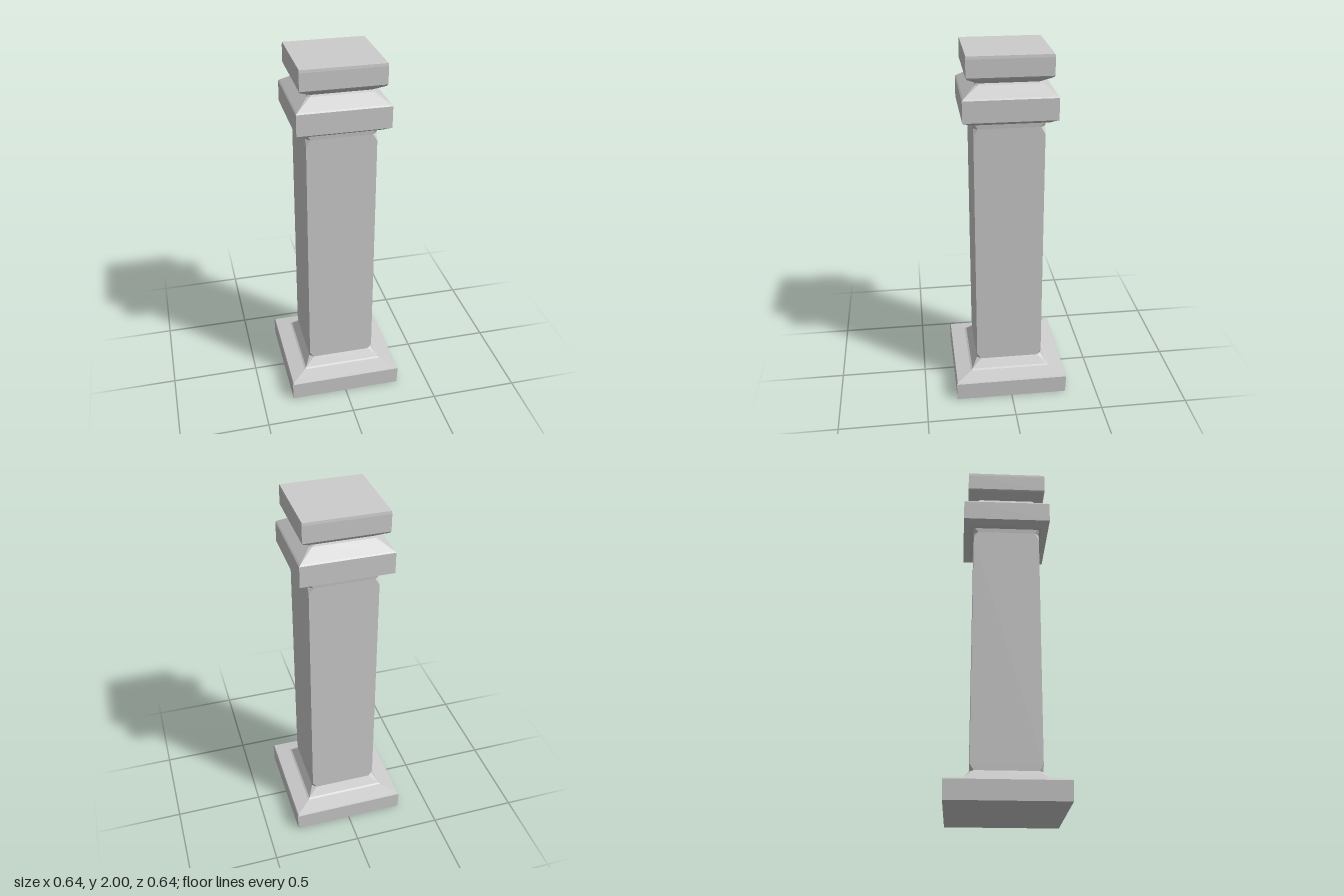
import * as THREE from 'three';

// Square ring at height y, half width r, corners cut back by c
function ring([y, r, c = 0]) {
  const s = r - c;
  return [[r, -s], [r, s], [s, r], [-s, r], [-r, s], [-r, -s], [-s, -r], [s, -r]]
    .map(([x, z]) => new THREE.Vector3(x, y, z));
}

// Skin a stack of rings with flat faces, optionally closing either end
function loft(profile, closeBottom, closeTop) {
  const rings = profile.map(ring);
  const out = [];
  const tri = (a, b, c) => {
    const area = b.clone().sub(a).cross(c.clone().sub(a)).length();
    if (area > 1e-8) for (const p of [a, b, c]) out.push(p.x, p.y, p.z);
  };
  for (let k = 0; k < rings.length - 1; k++) {
    const lo = rings[k], hi = rings[k + 1];
    for (let i = 0; i < 8; i++) {
      const j = (i + 1) % 8;
      tri(lo[i], hi[i], hi[j]);
      tri(lo[i], hi[j], lo[j]);
    }
  }
  const first = rings[0], last = rings[rings.length - 1];
  for (let i = 1; i < 7; i++) {
    if (closeBottom) tri(first[0], first[i], first[i + 1]);
    if (closeTop) tri(last[0], last[i + 1], last[i]);
  }
  const geometry = new THREE.BufferGeometry();
  geometry.setAttribute('position', new THREE.Float32BufferAttribute(out, 3));
  geometry.computeVertexNormals();
  return geometry;
}

export function createModel() {
  const group = new THREE.Group();
  group.name = 'pillar';
  const stone = new THREE.MeshStandardMaterial({ color: 0xcccccc });
  stone.name = 'grey stone';

  const add = (name, profile, closeBottom = false, closeTop = false) => {
    const mesh = new THREE.Mesh(loft(profile, closeBottom, closeTop), stone);
    mesh.name = name;
    group.add(mesh);
  };

  // Plinth with a shallow sloping top
  add('plinth', [[0, 0.32], [0.105, 0.322], [0.113, 0.317], [0.132, 0.232]], true);
  // Flared foot with nicked corners
  add('foot', [[0.132, 0.232], [0.138, 0.222], [0.185, 0.19, 0.022], [0.22, 0.19]]);
  // Tall square shaft, nicked again under the collar
  add('shaft', [[0.22, 0.19], [1.57, 0.19], [1.61, 0.19, 0.024], [1.635, 0.192, 0.01]]);
  // Wide collar, sloping in to the neck
  add('collar', [[1.635, 0.192, 0.01], [1.64, 0.21], [1.655, 0.235], [1.663, 0.25],
    [1.78, 0.25], [1.787, 0.243], [1.838, 0.175, 0.012]]);
  // Narrow neck
  add('neck', [[1.838, 0.175, 0.012], [1.848, 0.17, 0.012]]);
  // Cap block
  add('cap', [[1.848, 0.17, 0.012], [1.882, 0.222], [1.89, 0.227],
    [1.985, 0.227], [2, 0.225]], false, true);

  return group;
}
